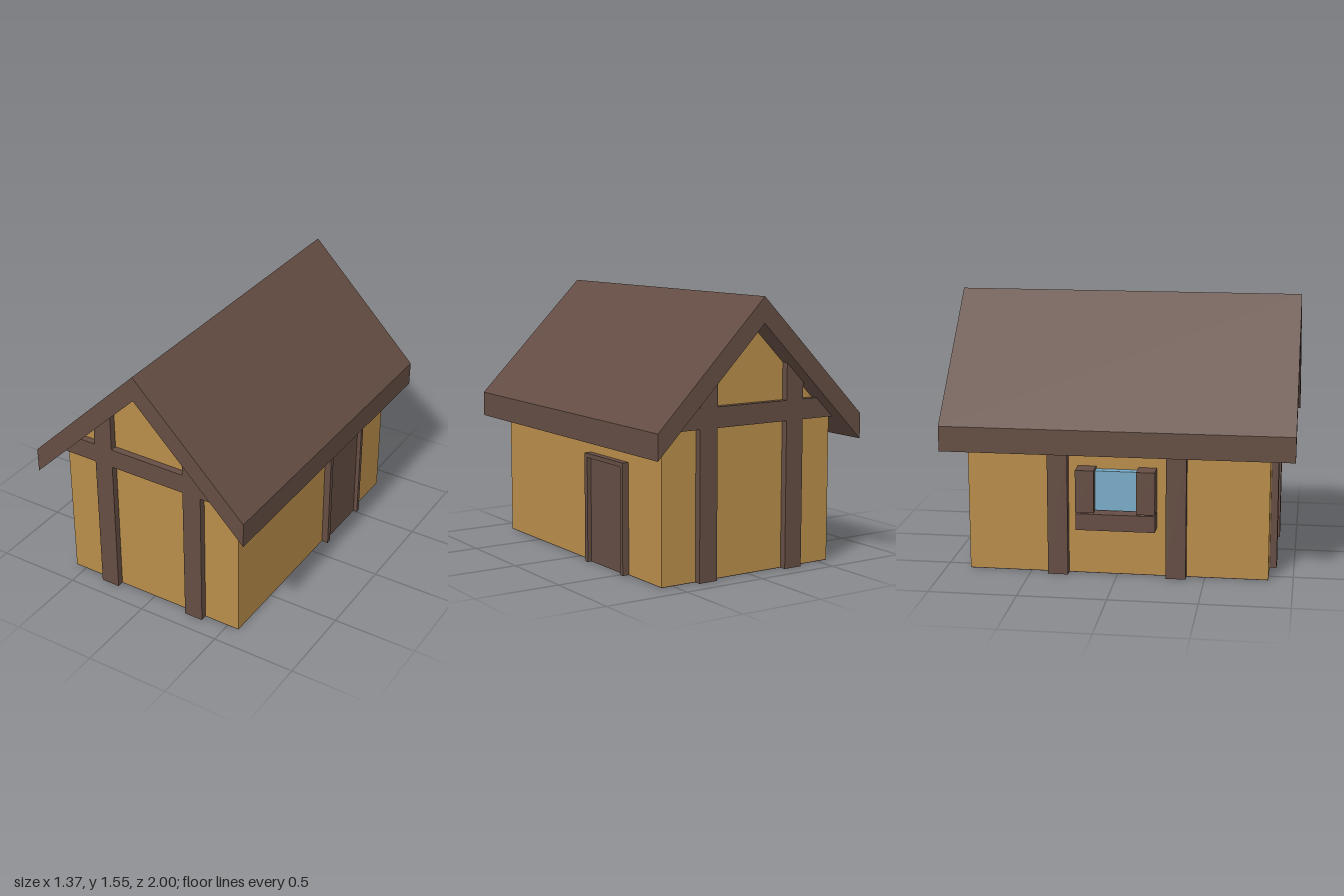
import * as THREE from 'three';

export function createModel() {
  const plaster = new THREE.MeshStandardMaterial({ color: 0xb88d4a });
  plaster.name = 'ochre plaster';
  const timber = new THREE.MeshStandardMaterial({ color: 0x644d43 });
  timber.name = 'brown timber';
  const glass = new THREE.MeshStandardMaterial({ color: 0x79acc8 });
  glass.name = 'blue glass';

  const house = new THREE.Group();
  house.name = 'cottage';

  const RIDGE = 1.405;  // underside of the roof at x = 0, falling at 45 degrees
  const HALF_X = 0.57, HALF_Z = 0.86;
  const under = (x) => RIDGE - Math.abs(x);

  const add = (name, geometry, material) => {
    const mesh = new THREE.Mesh(geometry, material);
    mesh.name = name;
    house.add(mesh);
    return mesh;
  };
  // Extrudes an x-y outline from z0 to z1
  const prism = (name, points, z0, z1, material) => {
    const shape = new THREE.Shape(points.map(([x, y]) => new THREE.Vector2(x, y)));
    const geometry = new THREE.ExtrudeGeometry(shape, { depth: z1 - z0, bevelEnabled: false });
    return add(name, geometry.translate(0, 0, z0), material);
  };
  // Box given by its limits on each axis
  const box = (name, [x0, x1], [y0, y1], [z0, z1], material) => {
    const geometry = new THREE.BoxGeometry(x1 - x0, y1 - y0, z1 - z0);
    return add(name, geometry.translate((x0 + x1) / 2, (y0 + y1) / 2, (z0 + z1) / 2), material);
  };

  // Walls with gables, on a thin floor
  prism('walls', [
    [-HALF_X, 0.004], [HALF_X, 0.004], [HALF_X, under(HALF_X)], [0, RIDGE], [-HALF_X, under(HALF_X)],
  ], -HALF_Z, HALF_Z, plaster);
  box('floor', [-HALF_X, HALF_X], [0, 0.004], [-HALF_Z, HALF_Z], timber);

  // Thick gabled roof
  prism('roof', [
    [0, 1.55], [-0.685, 0.865], [-0.685, 0.72], [0, RIDGE], [0.685, 0.72], [0.685, 0.865],
  ], -1, 1, timber);

  // Timber frame on both gable ends
  for (const [end, z0, z1] of [['front', HALF_Z, 0.9], ['back', -0.9, -HALF_Z]]) {
    for (const s of [-1, 1]) {
      const a = 0.235 * s, b = 0.35 * s;
      prism(end + 'Post', [[a, 0], [b, 0], [b, under(b)], [a, under(a)]], z0, z1, timber);
    }
    prism(end + 'Beam', [
      [-0.56, 0.845], [0.56, 0.845], [0.445, 0.96], [-0.445, 0.96],
    ], z0, z1, timber);
  }

  // Posts on the window side
  for (const z0 of [-0.395, 0.28]) {
    prism('sidePost', [
      [-0.62, 0], [-HALF_X, 0], [-HALF_X, under(HALF_X)], [-0.62, under(0.62)],
    ], z0, z0 + 0.115, timber);
  }

  // Window with two shutters and a sill box
  box('windowPane', [-0.62, -HALF_X], [0.39, 0.62], [-0.125, 0.125], glass);
  for (const z0 of [-0.225, 0.12]) {
    box('shutter', [-0.68, -HALF_X], [0.39, 0.635], [z0, z0 + 0.105], timber);
  }
  box('windowSill', [-0.67, -HALF_X], [0.285, 0.38], [-0.225, 0.225], timber);

  // Door recessed in its frame
  for (const [z0, z1] of [[-0.53, -0.505], [-0.15, -0.12]]) {
    box('doorJamb', [HALF_X, 0.61], [0, 0.635], [z0, z1], timber);
  }
  box('doorLintel', [HALF_X, 0.61], [0.61, 0.635], [-0.505, -0.15], timber);
  box('doorPanel', [HALF_X, 0.585], [0, 0.61], [-0.505, -0.15], timber);

  return house;
}
